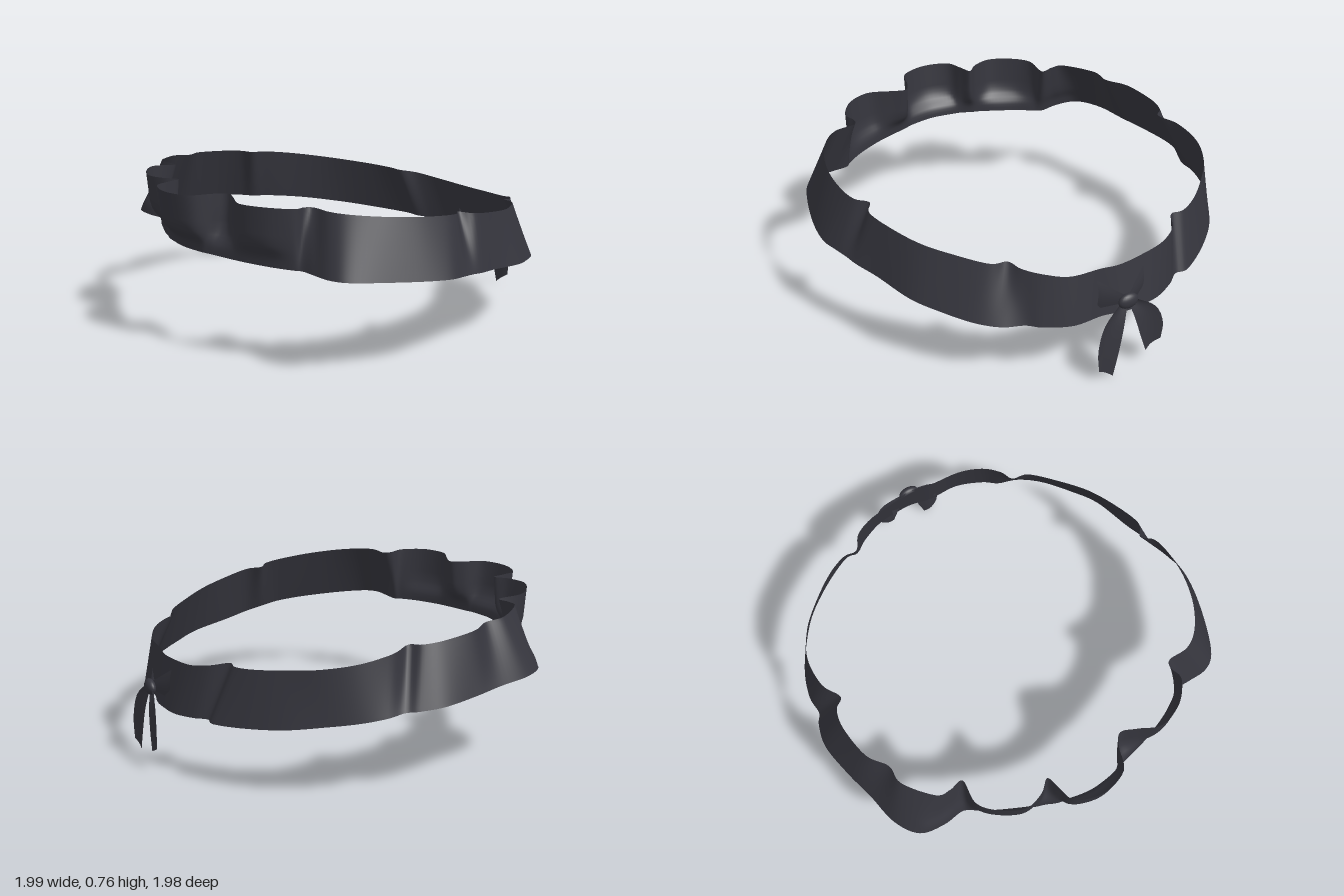
import * as THREE from 'three';

const cloth = new THREE.MeshStandardMaterial({ color: 0x35353d, side: THREE.DoubleSide });
cloth.name = 'charcoalCloth';

// Plan outlines (x, z) of the band, starting at the back and running past the +x side.
const topPlan = [
  0, -.87, .1, -.86, .25, -.85, .36, -.8, .43, -.73, .46, -.665, .54, -.645, .65, -.53, .75, -.4,
  .82, -.25, .86, -.11, .825, -.04, .875, .01, .895, .1, .89, .25, .85, .4, .78, .52, .7, .58,
  .6, .59, .58, .63, .595, .7, .52, .8, .4, .85, .29, .81, .21, .785, .17, .84, .13, .95,
  0, .995, -.13, .96, -.165, .88, -.19, .81, -.25, .86, -.35, .885, -.46, .83, -.53, .75, -.53, .63,
  -.6, .64, -.67, .63, -.78, .5, -.79, .4, -.86, .3, -.89, .13, -.875, .03, -.83, -.02, -.88, -.12,
  -.88, -.28, -.81, -.43, -.7, -.55, -.58, -.65, -.48, -.7, -.41, -.7, -.36, -.78, -.26, -.835, -.12, -.86,
];
const bottomPlan = [
  0, -.915, .1, -.895, .25, -.895, .38, -.845, .45, -.795, .55, -.76, .65, -.68, .75, -.55, .83, -.42,
  .89, -.22, .935, -.1, .955, -.02, .975, .05, .995, .14, .98, .28, .93, .46, .87, .6, .8, .655,
  .7, .665, .62, .67, .585, .7, .5, .755, .38, .81, .29, .84, .22, .86, .17, .875, .12, .89,
  0, .905, -.12, .89, -.17, .88, -.22, .86, -.27, .845, -.35, .81, -.46, .76, -.53, .715, -.58, .695,
  -.68, .71, -.8, .69, -.88, .58, -.92, .41, -.96, .27, -.995, .09, -.975, -.03, -.945, -.09, -.95, -.18,
  -.92, -.3, -.86, -.42, -.75, -.58, -.6, -.71, -.45, -.8, -.38, -.8, -.31, -.85, -.2, -.9, -.08, -.915,
];
// Edge heights along z, from back to front.
const topHeight = [[-.87, .52], [-.8, .55], [-.62, .585], [-.4, .62], [0, .685], [.6, .745], [.8, .76], [1, .76]];
const bottomHeight = [[-.91, .29], [-.8, .305], [-.4, .37], [0, .42], [.4, .455], [.7, .475], [.92, .49]];
// How far each height has moved from the bottom outline to the top one, on the front pouches.
const pouchProfile = [[0, 0], [.16, .06], [.24, .3], [.34, .64], [.5, .82], [1, 1]];

function lookUp(table, v) {
  if (v <= table[0][0]) return table[0][1];
  for (let i = 1; i < table.length; i++) {
    const [a, p] = table[i - 1], [b, q] = table[i];
    if (v <= b) return p + (q - p) * (v - a) / (b - a);
  }
  return table[table.length - 1][1];
}

function closedCurve(plan, heights) {
  const points = [];
  for (let i = 0; i < plan.length; i += 2) {
    points.push(new THREE.Vector3(plan[i], lookUp(heights, plan[i + 1]), plan[i + 1]));
  }
  return new THREE.CatmullRomCurve3(points, true, 'catmullrom', 0.5);
}

// Smooth surface through rows of points; closed joins the last row to the first.
function surface(name, rows, closed = false) {
  const n = rows[0].length, index = [];
  const last = closed ? rows.length : rows.length - 1;
  for (let i = 0; i < last; i++) {
    for (let j = 0; j < n - 1; j++) {
      const a = i * n + j, b = ((i + 1) % rows.length) * n + j;
      index.push(a, b + 1, b, a, a + 1, b + 1);
    }
  }
  const geometry = new THREE.BufferGeometry().setFromPoints(rows.flat());
  geometry.setIndex(index);
  geometry.computeVertexNormals();
  const mesh = new THREE.Mesh(geometry, cloth);
  mesh.name = name;
  return mesh;
}

function buildBand() {
  const top = closedCurve(topPlan, topHeight), bottom = closedCurve(bottomPlan, bottomHeight);
  const around = 324, up = 16, rows = [];
  for (let i = 0; i < around; i++) {
    const a = bottom.getPoint(i / around), b = top.getPoint(i / around);
    const pouch = THREE.MathUtils.smoothstep(a.z, .67, .76);
    const row = [];
    for (let j = 0; j <= up; j++) {
      const t = j / up;
      const f = THREE.MathUtils.lerp(t, lookUp(pouchProfile, t), pouch);
      const p = a.clone().lerp(b, f);
      p.y = THREE.MathUtils.lerp(a.y, b.y, t);
      row.push(p);
    }
    rows.push(row);
  }
  return surface('headband', rows, true);
}

// Hanging ribbon end, gently cupped across its width.
function buildTail(side, length) {
  const curve = (pts) => new THREE.CatmullRomCurve3(pts.map(([x, y, z]) =>
    new THREE.Vector3(side * x, .36 - (.36 - y) * length, z)));
  const inner = curve([[.005, .35, -.95], [.03, .25, -.967], [.06, .12, -.975], [.09, .005, -.978]]);
  const outer = curve([[.03, .38, -.95], [.14, .29, -.972], [.178, .17, -.982], [.17, .06, -.982]]);
  const rows = [];
  for (let i = 0; i <= 12; i++) {
    const row = [];
    for (let j = 0; j <= 6; j++) {
      const p = inner.getPoint(i / 12).lerp(outer.getPoint(i / 12), j / 6);
      p.z += .012 * Math.sin(Math.PI * j / 6);
      row.push(p);
    }
    rows.push(row);
  }
  return surface(side > 0 ? 'leftTail' : 'rightTail', rows);
}

// Short flared piece running from the knot to the band.
function buildEar(side) {
  const rows = [];
  for (let i = 0; i <= 6; i++) {
    const t = i / 6, row = [];
    for (let j = 0; j <= 4; j++) {
      const s = j / 4;
      row.push(new THREE.Vector3(
        side * .125 * t,
        THREE.MathUtils.lerp(.36 - .03 * t, .39 + .09 * t, s),
        -.945 + .065 * t - .012 * Math.sin(Math.PI * s) * t));
    }
    rows.push(row);
  }
  return surface(side > 0 ? 'leftEar' : 'rightEar', rows);
}

export function createModel() {
  const model = new THREE.Group();
  model.name = 'tiedHeadband';
  model.add(buildBand());

  // Bow at the back
  const bow = new THREE.Group();
  bow.name = 'bow';
  const knot = new THREE.Mesh(new THREE.SphereGeometry(1, 20, 14), cloth);
  knot.name = 'knot';
  knot.scale.set(.052, .038, .025);
  knot.position.set(0, .37, -.948);
  bow.add(knot, buildTail(1, 1), buildTail(-1, .79), buildEar(1), buildEar(-1));
  model.add(bow);
  return model;
}
